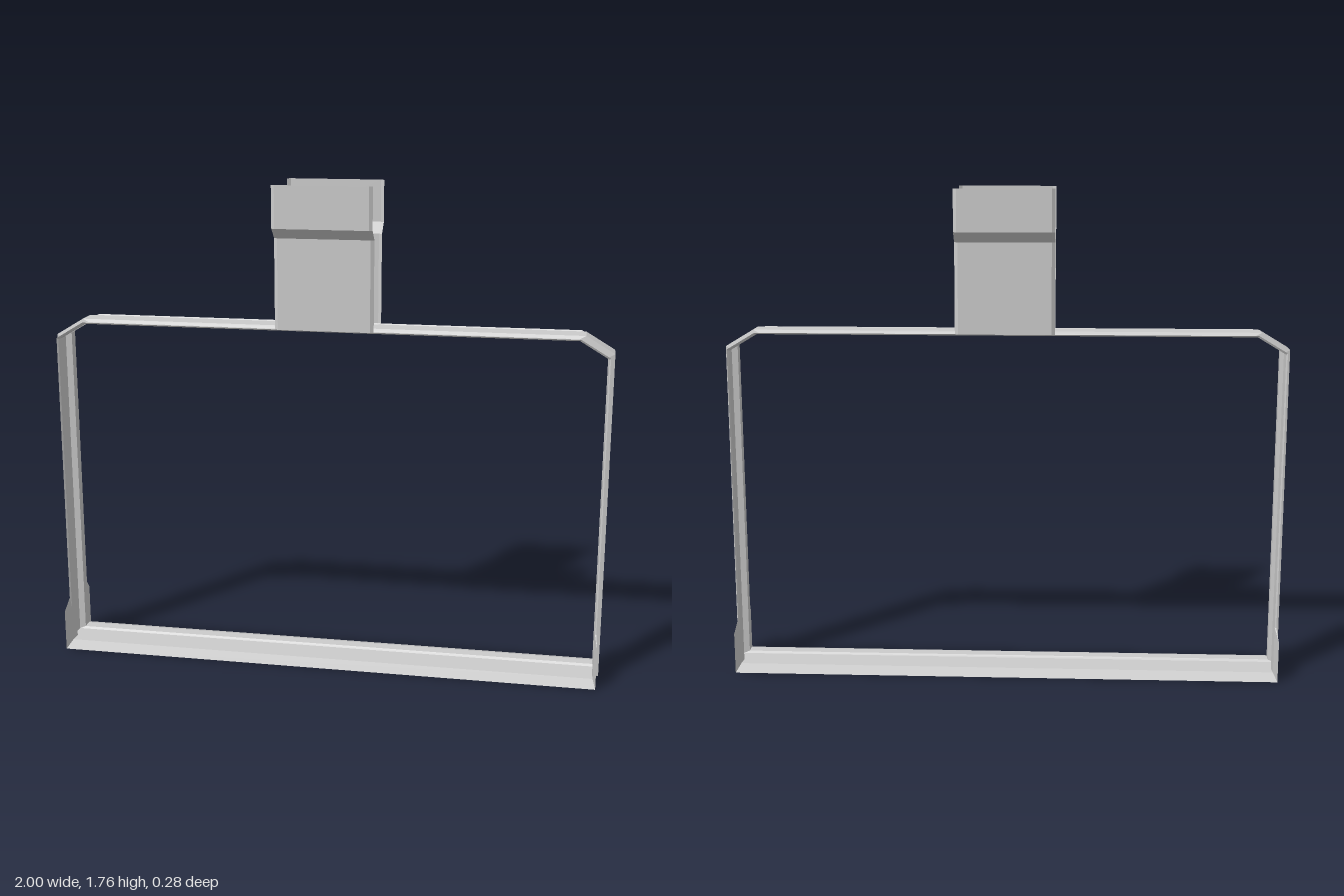
import * as THREE from 'three';

const material = new THREE.MeshStandardMaterial({
  color: 0xcccccc, flatShading: true, side: THREE.DoubleSide,
});

// Skin a grid of points (rows of equal length); optionally close the rows into a loop.
function sheet(name, rows, closed = false) {
  const n = rows[0].length, index = [];
  const last = closed ? rows.length : rows.length - 1;
  for (let i = 0; i < last; i++) {
    const a = i * n, b = ((i + 1) % rows.length) * n;
    for (let j = 0; j < n - 1; j++) {
      index.push(a + j, b + j, b + j + 1, a + j, b + j + 1, a + j + 1);
    }
  }
  const geometry = new THREE.BufferGeometry();
  geometry.setAttribute('position', new THREE.Float32BufferAttribute(rows.flat(2), 3));
  geometry.setIndex(index);
  geometry.computeVertexNormals();
  const mesh = new THREE.Mesh(geometry, material);
  mesh.name = name;
  return mesh;
}

// Folded channel swept around the frame, with a wider flange at the bottom.
function createFrame() {
  // Half of the cross-section: depth z, side x, bottom y, top y
  const half = [
    { z: 0.09, x: 0.985, bottom: 0.017, top: 1.255, edge: true },
    { z: 0.085, x: 0.98, bottom: 0.018, top: 1.25 },
    { z: 0.045, x: 0.978, bottom: 0.018, top: 1.249 },
    { z: 0.04, x: 1.0, bottom: 0.01, top: 1.26 },
  ];
  const profile = [...half, ...half.toReversed().map((p) => ({ ...p, z: -p.z }))];
  const flange = (p, x, y) => (p.edge ? [x, y, Math.sign(p.z) * 0.135] : null);
  // Stations up one side; the other side is mirrored
  const stations = [
    (p) => flange(p, 0.99, 0) ?? [p.x, p.bottom, p.z],
    (p) => flange(p, 0.99, 0.15) ?? [p.x, 0.15, p.z],
    (p) => [p.x, 0.19, p.z],
    (p) => [p.x, p.top - 0.06, p.z],
    (p) => [p.x - 0.1, p.top, p.z],
  ];
  const side = stations.map((at) => profile.map(at));
  const mirrored = side.map((row) => row.map(([x, y, z]) => [-x, y, z])).reverse();
  return sheet('frame', [...side, ...mirrored], true);
}

// Bent spring plate with slightly turned-in side edges.
function createClip(name, sign) {
  const bends = [[0.083, 1.25], [0.097, 1.255], [0.097, 1.575], [0.14, 1.612], [0.14, 1.76]];
  const across = [[-0.175, 0.008], [-0.163, 0], [0.163, 0], [0.175, 0.008]];
  return sheet(name, bends.map(([z, y]) =>
    across.map(([x, turn]) => [x, y, sign * (z - turn)])));
}

export function createModel() {
  const model = new THREE.Group();
  model.name = 'clipFrame';
  model.add(createFrame(), createClip('frontClip', 1), createClip('backClip', -1));
  return model;
}
